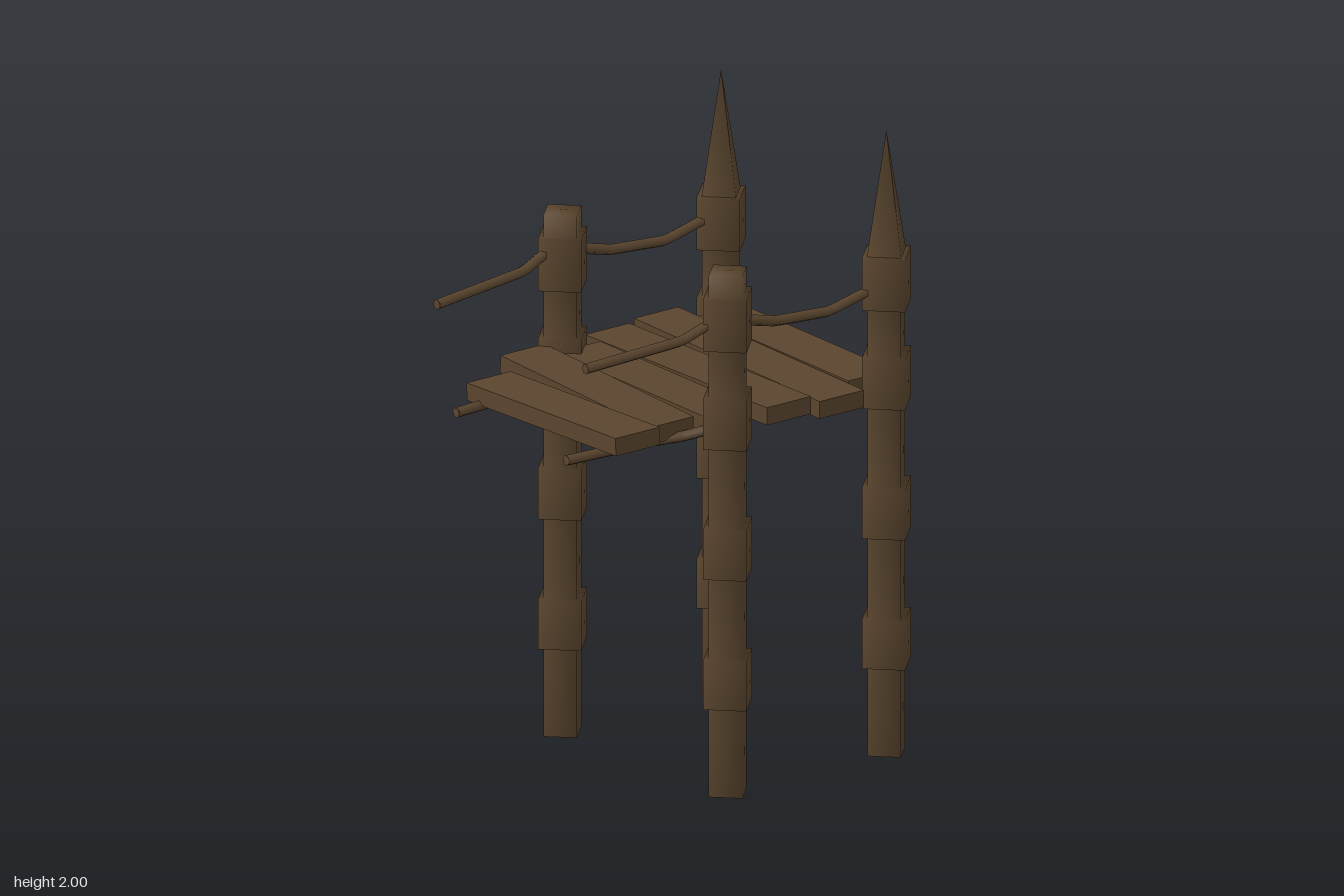
import * as THREE from 'three';

export function createModel() {
  const model = new THREE.Group();
  model.name = 'bridgeSegment';
  const wood = new THREE.MeshStandardMaterial({ color: 0x5a452e });
  wood.name = 'darkWood';

  const add = (geometry, name, parent = model) => {
    const mesh = new THREE.Mesh(geometry, wood);
    mesh.name = name;
    parent.add(mesh);
    return mesh;
  };

  // Square posts set cornerwise, with four collars; the rear pair ends in spires
  const R = 0.071, COLLAR = 0.092;
  const bands = [[0.28, 0.435], [0.69, 0.85], [1.1, 1.26], [1.41, 1.575]];
  const addPost = (x, y, z, spired, name) => {
    const post = new THREE.Group();
    post.name = name;
    post.position.set(x, y, z);
    model.add(post);
    const profile = [[0, 0], [R, 0]];
    for (const [a, b] of bands) profile.push([R, a], [COLLAR, a], [COLLAR, b], [R, b]);
    if (spired) profile.push([0, 1.575]);
    else profile.push([R, 1.645], [0, 1.645]);
    add(new THREE.LatheGeometry(profile.map(p => new THREE.Vector2(...p)), 4), 'collaredPost', post);
    if (spired) {
      const spire = add(new THREE.ConeGeometry(0.074, 0.39, 4, 1, true), 'spire', post);
      spire.position.y = 1.57 + 0.195;
    }
  };
  for (const side of [-1, 1]) {
    const label = side > 0 ? 'left' : 'right';
    const lift = side > 0 ? 0.035 : 0;
    addPost(side * 0.402, lift, 0.092, false, label + 'FrontPost');
    addPost(side * 0.402, lift, -0.504, true, label + 'RearPost');
  }

  // Deck planks: x from, x to, z centre, y centre, tilt
  const planks = [
    [-0.335, 0.39, 0.42, 1.195, 0.038],
    [-0.405, 0.32, 0.24, 1.197, -0.035],
    [-0.365, 0.365, 0.06, 1.19, 0],
    [-0.455, 0.43, -0.117, 1.192, 0.02],
    [-0.452, 0.452, -0.298, 1.192, -0.01],
    [-0.365, 0.365, -0.473, 1.19, 0],
  ];
  planks.forEach(([x0, x1, z, y, tilt], i) => {
    const plank = add(new THREE.BoxGeometry(x1 - x0, 0.055, 0.166), 'plank' + (i + 1));
    plank.position.set((x0 + x1) / 2, y, z);
    plank.rotation.z = tilt;
  });

  // Sagging handrail ropes and the short ropes under the deck
  const addRope = (points, side, name) => {
    const path = new THREE.CurvePath();
    const pts = points.map(([x, y, z]) => new THREE.Vector3(side * x, y, z));
    for (let i = 1; i < pts.length; i++) path.add(new THREE.LineCurve3(pts[i - 1], pts[i]));
    add(new THREE.TubeGeometry(path, 40, 0.017, 6, false), name);
    // Closed front end
    const cap = add(new THREE.CircleGeometry(0.017, 6), name + 'End');
    cap.position.copy(pts[0]);
  };
  const handrail = [
    [0.362, 1.468, 0.595], [0.388, 1.49, 0.25], [0.4, 1.53, 0.15], [0.402, 1.535, 0.09],
    [0.402, 1.507, 0.01], [0.4, 1.482, -0.09], [0.398, 1.468, -0.29], [0.4, 1.498, -0.42], [0.402, 1.51, -0.5],
  ];
  const underRope = [[0.268, 1.153, 0.595], [0.29, 1.153, 0.28], [0.325, 1.16, 0.2], [0.38, 1.185, 0.09]];
  for (const side of [-1, 1]) {
    const label = side > 0 ? 'left' : 'right';
    addRope(handrail, side, label + 'HandrailRope');
    addRope(underRope, side, label + 'DeckRope');
  }
  return model;
}
